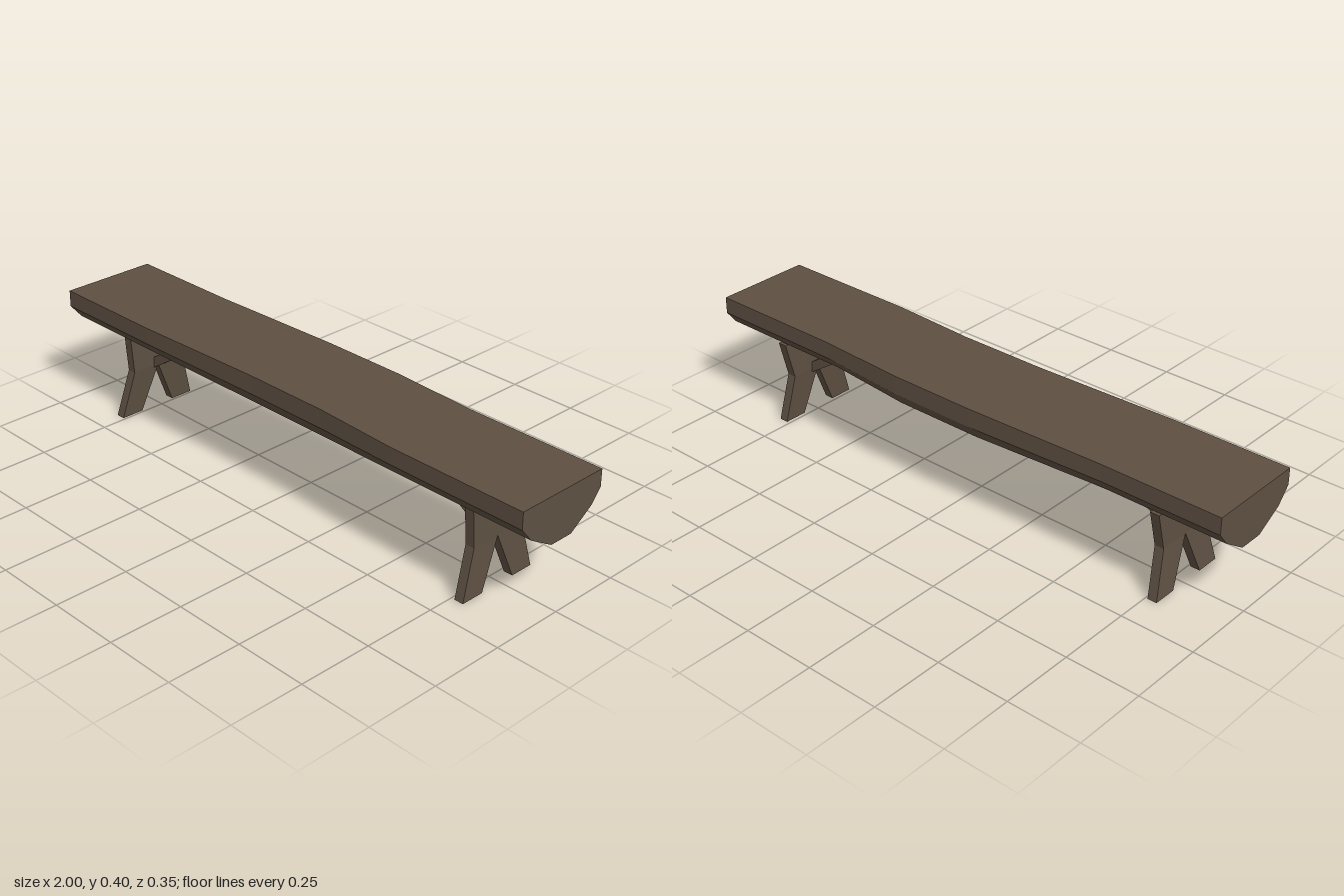
import * as THREE from 'three';

const wood = new THREE.MeshStandardMaterial({ color: 0x5e5042 });
wood.name = 'brown wood';
wood.flatShading = true;

const TOP = 0.402;

// Half-log seat: one cross-section (z, y) lofted along x, bowed and thicker in the middle
function seatGeometry() {
  const profile = [
    [0.177, TOP], [0.177, 0.345], [0.135, 0.295], [0.045, 0.242],
    [-0.04, 0.242], [-0.125, 0.3], [-0.16, 0.345], [-0.16, TOP],
  ];
  // x, z shift, depth scale
  const stations = [
    [-1, 0, 1], [-0.59, 0, 1], [-0.1, -0.016, 1.11],
    [0.21, -0.016, 1.11], [0.51, 0, 1], [1, 0, 1],
  ];
  const n = profile.length;
  const positions = [];
  const index = [];
  for (const [x, shift, depth] of stations) {
    for (const [z, y] of profile) positions.push(x, TOP - (TOP - y) * depth, z + shift);
  }
  for (let s = 0; s < stations.length - 1; s++) {
    for (let i = 0; i < n; i++) {
      const j = (i + 1) % n;
      const a = s * n, b = a + n;
      index.push(a + i, a + j, b + j, a + i, b + j, b + i);
    }
  }
  // End caps
  const last = (stations.length - 1) * n;
  for (let i = 1; i < n - 1; i++) {
    index.push(0, i + 1, i, last, last + i, last + i + 1);
  }
  const g = new THREE.BufferGeometry();
  g.setAttribute('position', new THREE.Float32BufferAttribute(positions, 3));
  g.setIndex(index);
  const flat = g.toNonIndexed();
  flat.computeVertexNormals();
  return flat;
}

// Forked plank leg, with its feet splayed by footShift along x
function legGeometry(x, footShift) {
  const thickness = 0.032, knee = 0.162;
  const outline = [
    [0.162, 0], [0.115, knee], [0.125, 0.292], [-0.127, 0.292], [-0.094, knee],
    [-0.135, 0], [-0.053, 0], [0.013, knee], [0.08, 0],
  ].map(([z, y]) => new THREE.Vector2(z, y));
  const g = new THREE.ExtrudeGeometry(new THREE.Shape(outline), { depth: thickness, bevelEnabled: false });
  g.rotateY(-Math.PI / 2);
  g.translate(x + thickness / 2, 0, 0);
  const p = g.attributes.position;
  for (let i = 0; i < p.count; i++) {
    const drop = Math.max(0, 1 - p.getY(i) / knee);
    p.setX(i, p.getX(i) + footShift * drop);
  }
  g.computeVertexNormals();
  return g;
}

// Slanted brace from the leg up into the underside of the seat
function braceGeometry(side) {
  const width = 0.045;
  const outline = [[0.76, 0.143], [0.76, 0.182], [0.62, 0.272], [0.56, 0.272]]
    .map(([x, y]) => new THREE.Vector2(x * side, y));
  const g = new THREE.ExtrudeGeometry(new THREE.Shape(outline), { depth: width, bevelEnabled: false });
  g.translate(0, 0, 0.008 - width / 2);
  return g;
}

export function createModel() {
  const model = new THREE.Group();
  model.name = 'logBench';
  const add = (name, geometry) => {
    const mesh = new THREE.Mesh(geometry, wood);
    mesh.name = name;
    model.add(mesh);
  };
  add('seat', seatGeometry());
  add('rightLeg', legGeometry(-0.759, -0.015));
  add('leftLeg', legGeometry(0.769, 0.009));
  add('rightBrace', braceGeometry(-1));
  add('leftBrace', braceGeometry(1));
  return model;
}
